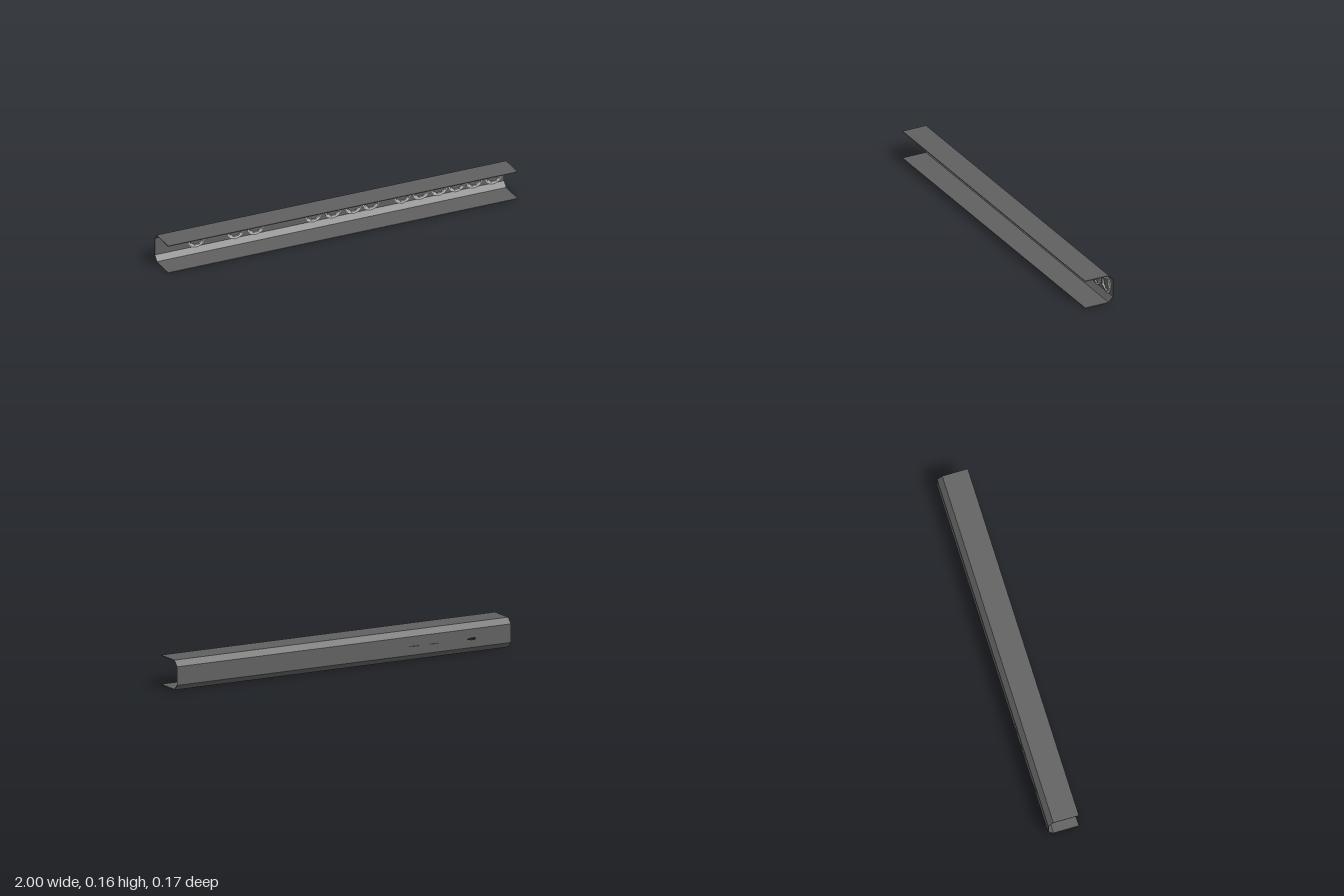
import * as THREE from 'three';

const steel = new THREE.MeshStandardMaterial({ color: 0x606060 });
steel.name = 'dark steel';
const silver = new THREE.MeshStandardMaterial({ color: 0xbdbdb8 });
silver.name = 'light metal';
const slotDark = new THREE.MeshStandardMaterial({ color: 0x3c3c3c });
slotDark.name = 'slot shadow grey';

const BACK = -0.083, THICK = 0.004, RING_Y = 0.076;

function polygon(points) {
  return new THREE.Shape(points.map(([x, y]) => new THREE.Vector2(x, y)));
}

function addMesh(parent, geometry, material, name, x = 0, y = 0, z = 0) {
  const mesh = new THREE.Mesh(geometry, material);
  mesh.name = name;
  mesh.position.set(x, y, z);
  parent.add(mesh);
  return mesh;
}

function extrude(shape, depth) {
  return new THREE.ExtrudeGeometry(shape, { depth, bevelEnabled: false, curveSegments: 8 });
}

// Sector of a flat ring, from angle a to angle b
function arcShape(inner, outer, a, b) {
  const s = new THREE.Shape();
  s.absarc(0, 0, outer, a, b, false);
  s.absarc(0, 0, inner, b, a, true);
  return s;
}

function annulus(inner, outer, depth) {
  const s = new THREE.Shape().absarc(0, 0, outer, 0, Math.PI * 2, false);
  s.holes.push(new THREE.Path().absarc(0, 0, inner, 0, Math.PI * 2, true));
  return new THREE.ExtrudeGeometry(s, { depth, bevelEnabled: false, curveSegments: 24 });
}

export function createModel() {
  const model = new THREE.Group();
  model.name = 'channelRail';

  // Flange and sloped corner, one above and one below
  const upper = [
    [0.084, 0.159], [-0.055, 0.159], [BACK, 0.129],
    [BACK + THICK, 0.1275], [-0.0535, 0.155], [0.084, 0.155],
  ];
  const lower = upper.map(([z, y]) => [z, 0.159 - y]);
  for (const [points, name] of [[upper, 'upperFlange'], [lower, 'lowerFlange']]) {
    const g = extrude(polygon(points), 2);
    g.rotateY(-Math.PI / 2);
    addMesh(model, g, steel, name, 1);
  }

  // Back wall with one pointed slot cut through
  const wall = polygon([[-1, 0.03], [1, 0.03], [1, 0.129], [-1, 0.129]]);
  wall.holes.push(polygon([
    [-0.79, RING_Y], [-0.785, 0.082], [-0.762, 0.081],
    [-0.736, RING_Y], [-0.762, 0.071], [-0.785, 0.07],
  ]));
  addMesh(model, extrude(wall, THICK), steel, 'backWall', 0, 0, BACK);

  // Narrow closed slots showing on both faces of the wall
  for (const x of [-0.54, -0.425]) {
    const slot = polygon([[-0.034, 0], [-0.02, -0.003], [0.02, -0.003], [0.034, 0], [0.02, 0.003], [-0.02, 0.003]]);
    addMesh(model, extrude(slot, THICK + 0.0012), slotDark, 'narrowSlot', x, RING_Y, BACK - 0.0006);
  }

  // Stepped rings inside the back wall
  const base = annulus(0.035, 0.047, 0.004);
  const segments = 8, step = Math.PI * 2 / segments;
  const tooth = extrude(arcShape(0.031, 0.0375, -step * 0.38, step * 0.38), 0.008);
  const lug = extrude(arcShape(0.034, 0.039, -0.5, 0.5), 0.012);
  const xs = [-0.765, -0.54, -0.425, -0.095, 0.018, 0.135, 0.235, 0.415, 0.52, 0.625, 0.725, 0.825, 0.935];
  for (const x of xs) {
    const ring = new THREE.Group();
    ring.name = 'ring';
    ring.position.set(x, RING_Y, BACK + THICK);
    addMesh(ring, base, silver, 'ringBase');
    for (let i = 0; i < segments; i++) {
      addMesh(ring, tooth, silver, 'ringTooth').rotation.z = i * step;
    }
    for (const angle of [0, Math.PI]) {
      addMesh(ring, lug, silver, 'ringLug').rotation.z = angle;
    }
    model.add(ring);
  }
  return model;
}
